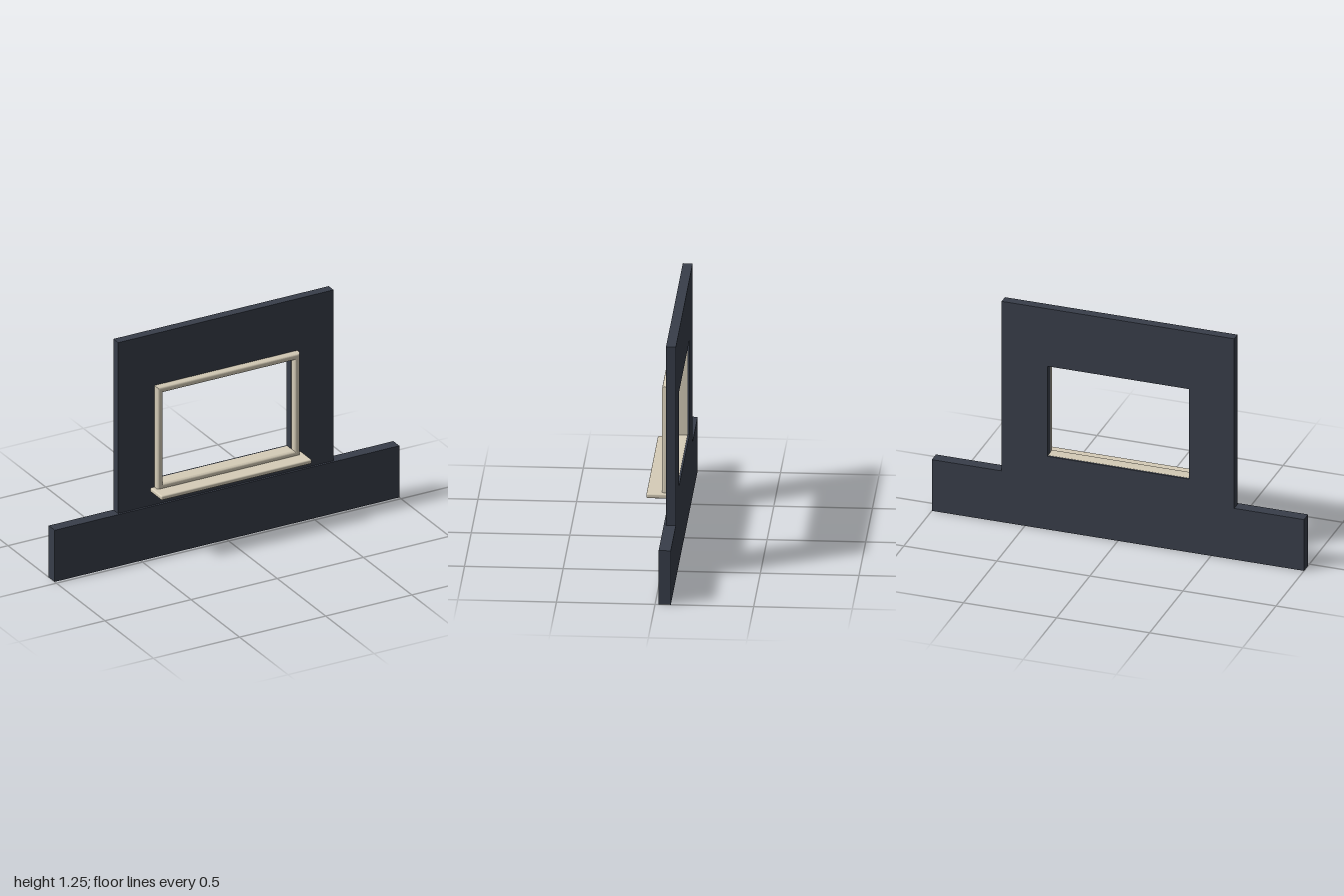
import * as THREE from 'three';
import { toCreasedNormals } from 'three/addons/utils/BufferGeometryUtils.js';
import { RoundedBoxGeometry } from 'three/addons/geometries/RoundedBoxGeometry.js';

const wallPaint = new THREE.MeshStandardMaterial({ name: 'slate wall', color: 0x383e4a });
const trimPaint = new THREE.MeshStandardMaterial({ name: 'cream trim', color: 0xd6cdb8 });

// Opening in the wall
const open = { left: -0.38, right: 0.38, bottom: 0.415, top: 0.925 };

function add(group, name, geometry, material, x = 0, y = 0, z = 0) {
  const mesh = new THREE.Mesh(geometry, material);
  mesh.name = name;
  mesh.position.set(x, y, z);
  group.add(mesh);
}

// Sweeps a closed (outward offset, z) profile around the opening with mitred corners
function sweepFrame(profile) {
  const corner = (k, [o, z]) => [
    k === 0 || k === 3 ? open.left - o : open.right + o,
    k < 2 ? open.bottom - o : open.top + o,
    z,
  ];
  const positions = [];
  for (let k = 0; k < 4; k++) {
    for (let i = 0; i < profile.length; i++) {
      const p = profile[i], q = profile[(i + 1) % profile.length], n = (k + 1) % 4;
      const a = corner(k, p), b = corner(k, q), c = corner(n, q), d = corner(n, p);
      positions.push(...a, ...b, ...c, ...a, ...c, ...d);
    }
  }
  const geometry = new THREE.BufferGeometry();
  geometry.setAttribute('position', new THREE.Float32BufferAttribute(positions, 3));
  return toCreasedNormals(geometry, 0.6);
}

export function createModel() {
  const model = new THREE.Group();
  model.name = 'wall with window frame';

  // Wall panel with a rectangular opening
  const panel = new THREE.Shape([
    new THREE.Vector2(-0.625, 0), new THREE.Vector2(0.625, 0),
    new THREE.Vector2(0.625, 1.25), new THREE.Vector2(-0.625, 1.25),
  ]);
  const e = 0.001; // keeps the reveal and the frame from sharing a plane
  panel.holes.push(new THREE.Path([
    new THREE.Vector2(open.left - e, open.bottom - e), new THREE.Vector2(open.left - e, open.top - e),
    new THREE.Vector2(open.right - e, open.top - e), new THREE.Vector2(open.right - e, open.bottom - e),
  ]));
  add(model, 'wall', new THREE.ExtrudeGeometry(panel, { depth: 0.05, bevelEnabled: false }), wallPaint, 0, 0, -0.08);

  // Wide plinth at the foot of the wall
  add(model, 'plinth', new THREE.BoxGeometry(2, 0.29, 0.062), wallPaint, 0, 0.145, -0.049);

  // Frame with rounded front edges
  const width = 0.035, front = 0.005, r = 0.014;
  const profile = [[0, -0.07]];
  for (let i = 0; i <= 4; i++) {
    const t = (i / 4) * Math.PI / 2;
    profile.push([r - r * Math.cos(t), front - r + r * Math.sin(t)]);
  }
  for (let i = 0; i <= 4; i++) {
    const t = (i / 4) * Math.PI / 2;
    profile.push([width - r + r * Math.sin(t), front - r + r * Math.cos(t)]);
  }
  profile.push([width, -0.07]);
  add(model, 'windowFrame', sweepFrame(profile), trimPaint);

  // Projecting sill under the frame
  add(model, 'sill', new RoundedBoxGeometry(0.874, 0.024, 0.123, 3, 0.007), trimPaint, 0, 0.377, 0.0215);

  return model;
}
